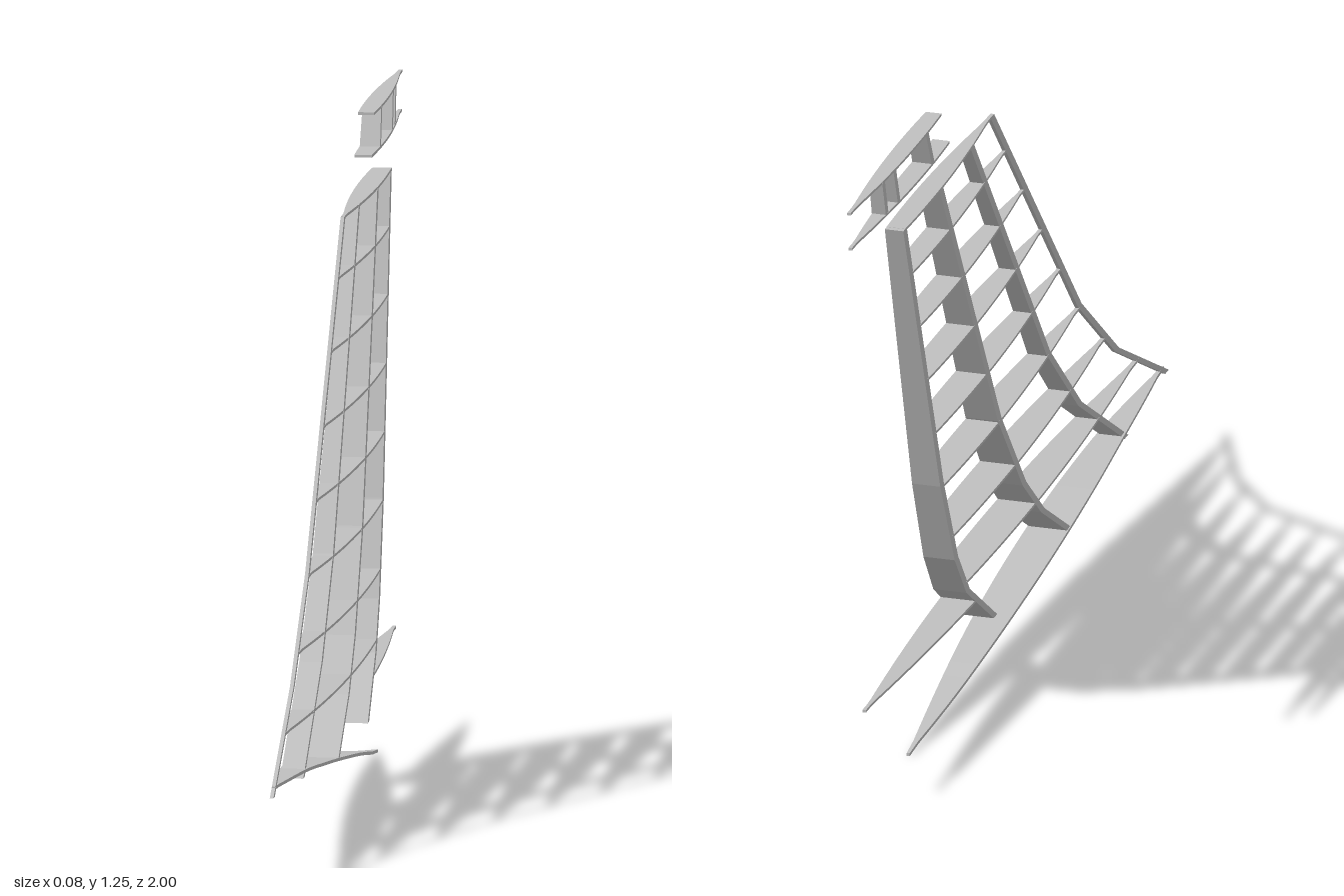
import * as THREE from 'three';

// Spar centre lines as [z, y], from the bottom up
const SPARS = {
  leadingSpar: [[0.988, 0.165], [0.675, 0.33], [0.44, 0.51], [-0.11, 1.105]],
  frontSpar: [[0.675, 0.155], [0.385, 0.333], [0.192, 0.51], [-0.265, 1.105]],
  middleSpar: [[0.265, 0.127], [0.1, 0.228], [-0.01, 0.324], [-0.155, 0.51], [-0.486, 1.105]],
  rearSpar: [[-0.198, 0.127], [-0.355, 0.238], [-0.423, 0.33], [-0.504, 0.51], [-0.706, 1.105]],
};

// z of a spar at height y, continued past its ends
function zAt(path, y) {
  let i = 1;
  while (i < path.length - 1 && y > path[i][1]) i++;
  const [a, b] = [path[i - 1], path[i]];
  return a[0] + (b[0] - a[0]) * (y - a[1]) / (b[1] - a[1]);
}

const lens = (s) => 4 * s * (1 - s);

// Half width of the fin's section at (z, y)
function halfWidth(z, y) {
  const front = Math.min(0.99, zAt(SPARS.leadingSpar, y));
  const back = -0.887 - 0.091 * y;
  const s = THREE.MathUtils.clamp((front - z) / (front - back), 0, 1);
  return Math.max(0.0035, (0.0425 - 0.0195 * y) * lens(s));
}

// Box-section strip through stations [z, y, halfWidth]; (oz, oy) is half its thickness
function strip(name, stations, oz, oy, material) {
  const pos = [], index = [];
  for (const [z, y, w] of stations) {
    for (const [sx, so] of [[1, 1], [-1, 1], [-1, -1], [1, -1]]) {
      pos.push(sx * w, y - so * oy, z - so * oz);
    }
  }
  const last = (stations.length - 1) * 4;
  for (let a = 0; a < last; a += 4) {
    for (let i = 0; i < 4; i++) {
      const j = (i + 1) % 4;
      index.push(a + i, a + j, a + 4 + j, a + i, a + 4 + j, a + 4 + i);
    }
  }
  index.push(0, 2, 1, 0, 3, 2, last, last + 1, last + 2, last, last + 2, last + 3);
  const indexed = new THREE.BufferGeometry();
  indexed.setAttribute('position', new THREE.Float32BufferAttribute(pos, 3));
  indexed.setIndex(index);
  const geometry = indexed.toNonIndexed();
  geometry.computeVertexNormals();
  const mesh = new THREE.Mesh(geometry, material);
  mesh.name = name;
  return mesh;
}

export function createModel() {
  const group = new THREE.Group();
  group.name = 'finFrame';
  const grey = new THREE.MeshStandardMaterial({ color: 0xc0c0c0 });
  grey.name = 'grey';

  // Upright spars and rudder posts
  const addSpar = (name, path, half) => {
    const stations = path.map(([z, y]) => [z, y, halfWidth(z, y)]);
    group.add(strip(name, stations, half, 0, grey));
  };
  for (const [name, path] of Object.entries(SPARS)) addSpar(name, path, 0.011);

  // Level ribs, tapering with the section
  const addRib = (name, y, z0, z1) => {
    const stations = [];
    for (let i = 0; i <= 20; i++) {
      const z = z0 + (z1 - z0) * i / 20;
      stations.push([z, y, halfWidth(z, y)]);
    }
    group.add(strip(name, stations, 0, 0.0025, grey));
  };
  for (const y of [0.258, 0.381, 0.504, 0.628, 0.752, 0.877, 1.0, 1.103]) {
    addRib('finRib', y, zAt(SPARS.leadingSpar, y), zAt(SPARS.rearSpar, y));
  }
  addRib('lowerRudderRib', 0.2, -0.303, -0.905);

  // Separate frame at the top
  addRib('upperFrameLowerRib', 1.172, -0.42, -0.993);
  addRib('upperFrameUpperRib', 1.246, -0.468, -1.0);
  for (const [z0, z1] of [[-0.532, -0.565], [-0.738, -0.762], [-0.804, -0.824]]) {
    addSpar('upperFramePost', [[z0, 1.172], [z1, 1.246]], 0.008);
  }

  // Curved root rib along the bottom
  const curve = new THREE.SplineCurve([
    [0.97, 0.18], [0.675, 0.168], [0.46, 0.149], [0.247, 0.126], [-0.01, 0.094],
    [-0.21, 0.066], [-0.423, 0.034], [-0.628, 0.006],
  ].map(([z, y]) => new THREE.Vector2(z, y)));
  const root = curve.getSpacedPoints(32).map((p) => {
    const s = (0.97 - p.x) / 1.598;
    return [p.x, p.y, Math.max(0.003, 0.0405 * lens(s))];
  });
  group.add(strip('rootRib', root, 0, 0.003, grey));

  return group;
}
